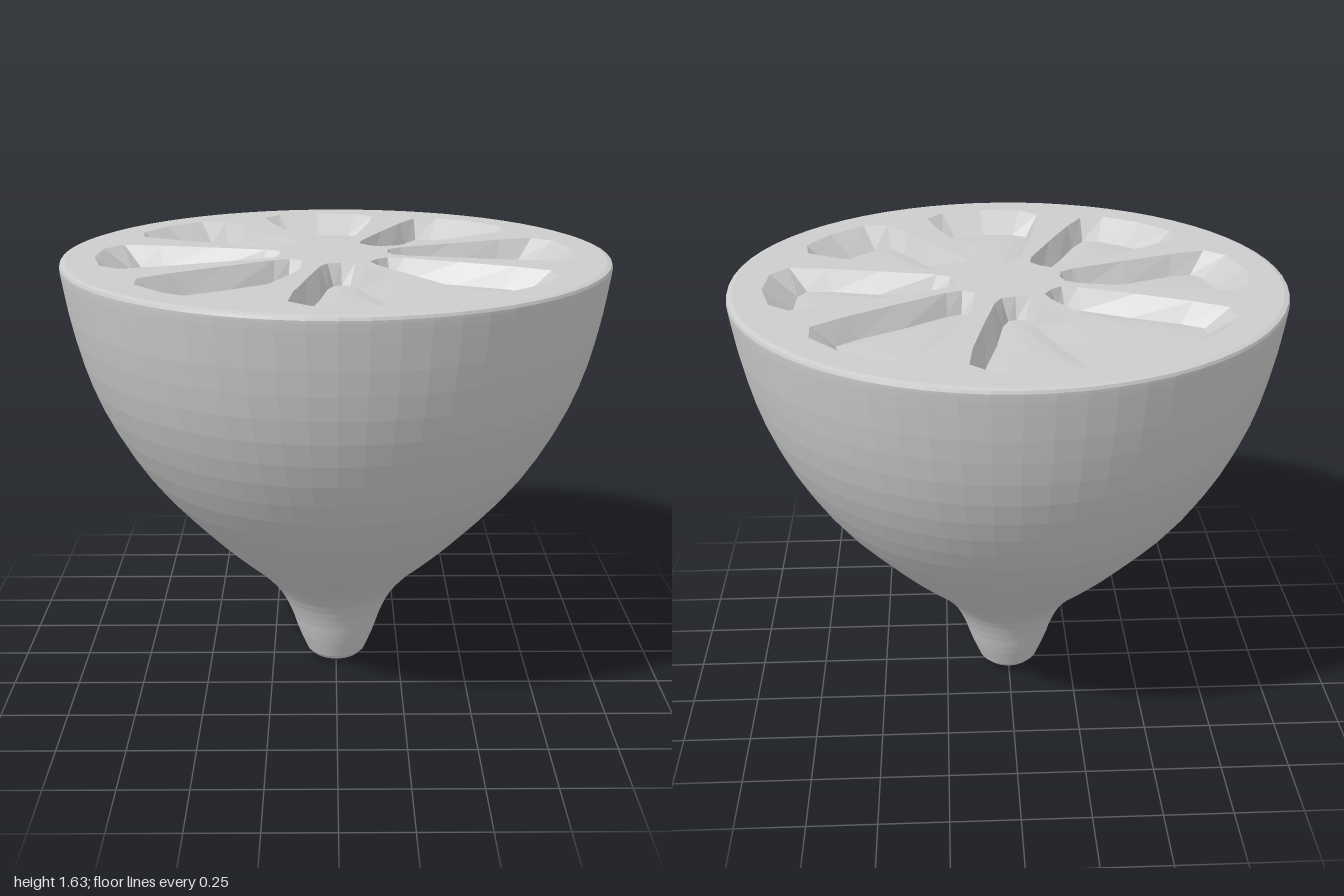
import * as THREE from 'three';

const TOP = 1.64, SIDES = 64, POCKETS = 8;

// Half outlines of a pocket as [along radius, sideways], from the middle outwards
const RIM = [[0.19, 0], [0.2, 0.05], [0.25, 0.08], [0.45, 0.142], [0.65, 0.2], [0.78, 0.225], [0.85, 0.16], [0.875, 0]];
const STEP = [[0.22, 0], [0.23, 0.03], [0.28, 0.055], [0.46, 0.1], [0.63, 0.155], [0.72, 0.17], [0.755, 0.12], [0.77, 0]];
const FLOOR = [[0.34, 0], [0.34, 0.015], [0.37, 0.03], [0.47, 0.055], [0.58, 0.09], [0.64, 0.1], [0.67, 0.07], [0.68, 0]];

// Mirror a half outline into a closed loop and turn it to its angle
function loop(half, angle) {
  const left = half.slice(1, -1).reverse();
  const all = [...half.map(([u, v]) => [u, -v]), ...left];
  const c = Math.cos(angle), s = Math.sin(angle);
  return all.map(([u, v]) => new THREE.Vector2(u * c - v * s, u * s + v * c));
}

// Sunken wedge: rim, sloping wall, slightly raised floor
function pocketGeometry(angle) {
  const levels = [[RIM, 0], [STEP, -0.075], [FLOOR, -0.068]];
  const rings = levels.map(([half, z]) => loop(half, angle).map(p => [p.x, p.y, z]));
  const n = rings[0].length, pos = rings.flat(2), index = [];
  pos.push(0.53 * Math.cos(angle), 0.53 * Math.sin(angle), -0.065);
  for (let i = 0; i < n; i++) {
    const j = (i + 1) % n;
    for (let r = 0; r < rings.length - 1; r++) {
      const a = r * n, b = a + n;
      index.push(a + i, a + j, b + j, a + i, b + j, b + i);
    }
    const last = (rings.length - 1) * n;
    index.push(last + i, last + j, rings.length * n);
  }
  const g = new THREE.BufferGeometry();
  g.setAttribute('position', new THREE.Float32BufferAttribute(pos, 3));
  g.setIndex(index);
  g.computeVertexNormals();
  return g.rotateX(-Math.PI / 2).translate(0, TOP, 0);
}

export function createModel() {
  const group = new THREE.Group();
  group.name = 'halfCitrus';
  const peel = new THREE.MeshStandardMaterial({ color: 0xcccccc, flatShading: true });
  peel.name = 'pale grey';
  const add = (name, geometry) => {
    const mesh = new THREE.Mesh(geometry, peel);
    mesh.name = name;
    group.add(mesh);
  };

  // Rind: bowl narrowing to a nub, with a small bevel at the cut
  const side = new THREE.SplineCurve([
    [0.115, 0.045], [0.15, 0.13], [0.18, 0.22], [0.225, 0.31], [0.3, 0.4], [0.41, 0.5], [0.52, 0.61],
    [0.69, 0.8], [0.82, 1], [0.91, 1.2], [0.965, 1.4], [0.995, 1.58], [1, 1.625],
  ].map(p => new THREE.Vector2(...p)));
  const profile = [
    new THREE.Vector2(0, 0.005), new THREE.Vector2(0.06, 0.012), new THREE.Vector2(0.095, 0.025),
    ...side.getPoints(28),
    new THREE.Vector2(0.996, 1.635), new THREE.Vector2(0.98, TOP),
  ];
  add('rind', new THREE.LatheGeometry(profile, SIDES));

  // Cut face with eight openings
  const ring = Array.from({ length: SIDES }, (_, i) => {
    const a = (i / SIDES) * Math.PI * 2;
    return new THREE.Vector2(0.98 * Math.cos(a), 0.98 * Math.sin(a));
  });
  const face = new THREE.Shape(ring);
  for (let k = 0; k < POCKETS; k++) {
    const angle = THREE.MathUtils.degToRad(95 + (k * 360) / POCKETS);
    face.holes.push(new THREE.Path(loop(RIM, angle).reverse()));
    add('pulpPocket' + (k + 1), pocketGeometry(angle));
  }
  add('cutFace', new THREE.ShapeGeometry(face).rotateX(-Math.PI / 2).translate(0, TOP, 0));
  return group;
}
